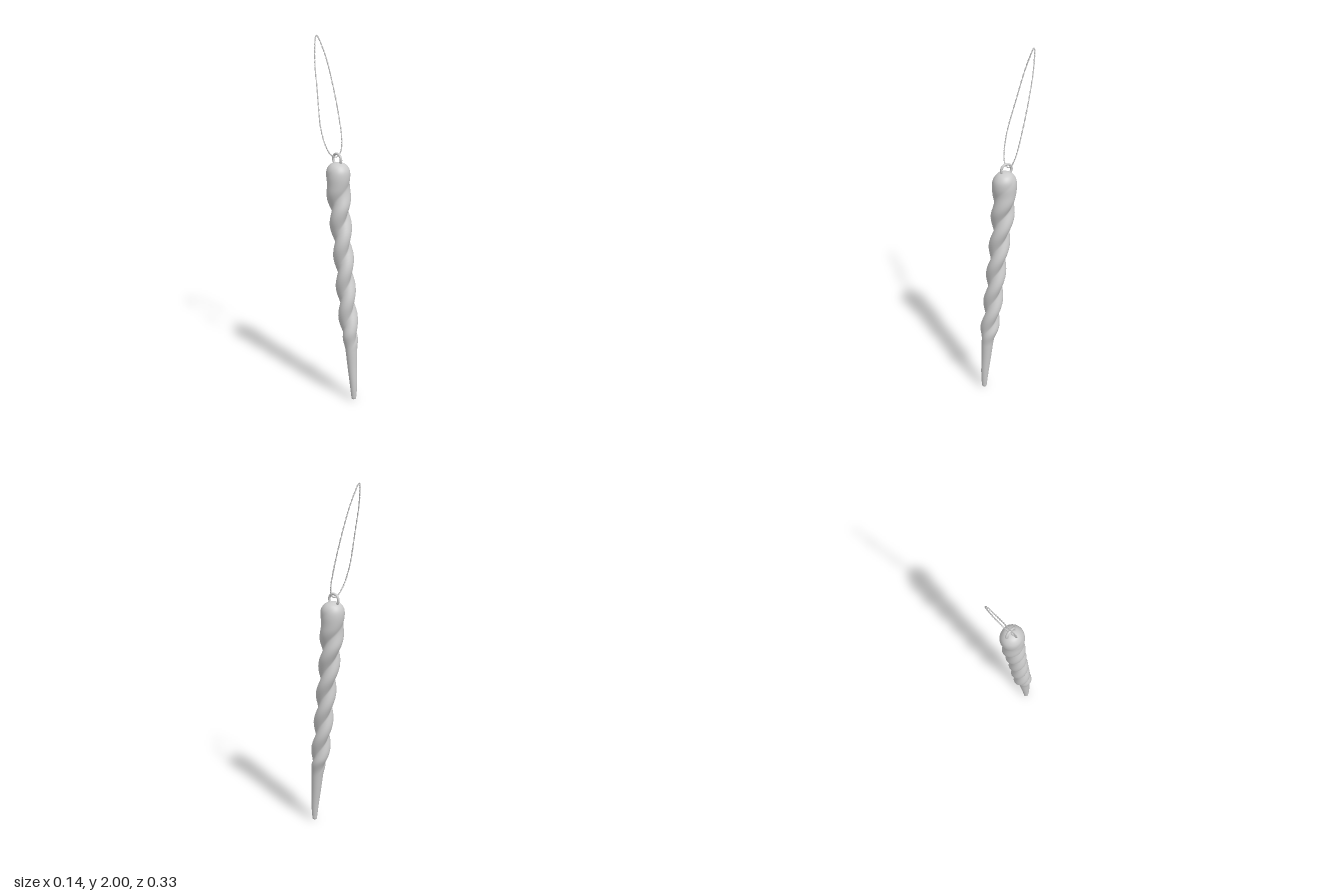
import * as THREE from 'three';

const material = new THREE.MeshStandardMaterial({ color: 0xcccccc, roughness: 0.6 });

// Body stations from tip to crown: radius, height, centre depth
const stations = [
  [0, 0, 0.15], [0.011, 0.006, 0.15], [0.015, 0.03, 0.15], [0.021, 0.1, 0.146], [0.027, 0.2, 0.136],
  [0.033, 0.3, 0.127], [0.036, 0.36, 0.119], [0.037, 0.42, 0.108], [0.038, 0.6, 0.085],
  [0.039, 0.8, 0.063], [0.042, 1.0, 0.037], [0.047, 1.12, 0.024], [0.056, 1.2, 0.018],
  [0.063, 1.26, 0.016], [0.058, 1.3, 0.015], [0.042, 1.325, 0.014], [0.02, 1.337, 0.014], [0, 1.34, 0.014],
].map((p) => new THREE.Vector3(...p));

// Two merged strands, twisting as they rise; the tip and crown stay round
function buildBody() {
  const rows = 220, sides = 48, pos = [], index = [];
  const spine = new THREE.CatmullRomCurve3(stations);
  for (let i = 0; i <= rows; i++) {
    const p = spine.getPoint(i / rows);
    const R = i === 0 || i === rows ? 0 : Math.max(p.x, 0.0005);
    const y = p.y;
    const lobes = THREE.MathUtils.smoothstep(y, 0.29, 0.41) * (1 - 0.85 * THREE.MathUtils.smoothstep(y, 1.08, 1.26));
    const d = 0.44 * R * lobes;
    const twist = (Math.PI * (y - 0.6)) / 0.17;
    for (let j = 0; j < sides; j++) {
      const a = (j / sides) * Math.PI * 2;
      const c = Math.cos(a), s = Math.sin(a);
      const r = d * Math.sqrt(c * c + 0.004) + Math.sqrt(R * R - d * d * s * s);
      pos.push(r * Math.sin(a + twist) + 0.003, y, p.z + r * Math.cos(a + twist));
      if (i < rows) {
        const k = i * sides + j, n = i * sides + ((j + 1) % sides);
        index.push(k, n, n + sides, k, n + sides, k + sides);
      }
    }
  }
  const geo = new THREE.BufferGeometry();
  geo.setAttribute('position', new THREE.Float32BufferAttribute(pos, 3));
  geo.setIndex(index);
  geo.computeVertexNormals();
  return geo;
}

// Hanging loop, leaning back in one flat plane
const lean = 0.253;
const loop = new THREE.CatmullRomCurve3([
  [0.003, 1.366], [0.035, 1.382], [0.057, 1.43], [0.066, 1.55], [0.057, 1.765], [0.036, 1.91], [0.003, 1.996],
  [-0.028, 1.91], [-0.054, 1.71], [-0.07, 1.53], [-0.057, 1.435], [-0.032, 1.383],
].map(([x, y]) => new THREE.Vector3(x, y, -(y - 1.366) * lean)), true);

// One cord strand winding around the loop
class Strand extends THREE.Curve {
  constructor(phase) {
    super();
    this.phase = phase;
  }
  getPoint(t, target = new THREE.Vector3()) {
    const u = ((t % 1) + 1) % 1;
    const a = u * Math.PI * 2 * 36 + this.phase;
    const normal = new THREE.Vector3(0, lean, 1).normalize();
    const across = loop.getTangent(u).cross(normal).normalize();
    return target.copy(loop.getPoint(u))
      .addScaledVector(normal, 0.0018 * Math.cos(a))
      .addScaledVector(across, 0.0018 * Math.sin(a));
  }
}

export function createModel() {
  const group = new THREE.Group();
  const add = (name, geo) => {
    const mesh = new THREE.Mesh(geo, material);
    mesh.name = name;
    group.add(mesh);
    return mesh;
  };

  add('twistedIcicle', buildBody());

  const ring = add('hangingRing', new THREE.TorusGeometry(0.031, 0.007, 14, 40));
  ring.rotation.y = Math.PI / 2;
  ring.position.set(0.005, 1.353, 0.005);

  for (let i = 0; i < 2; i++) {
    add('cordStrand' + (i + 1), new THREE.TubeGeometry(new Strand(i * Math.PI), 720, 0.0021, 6, true));
  }
  return group;
}
